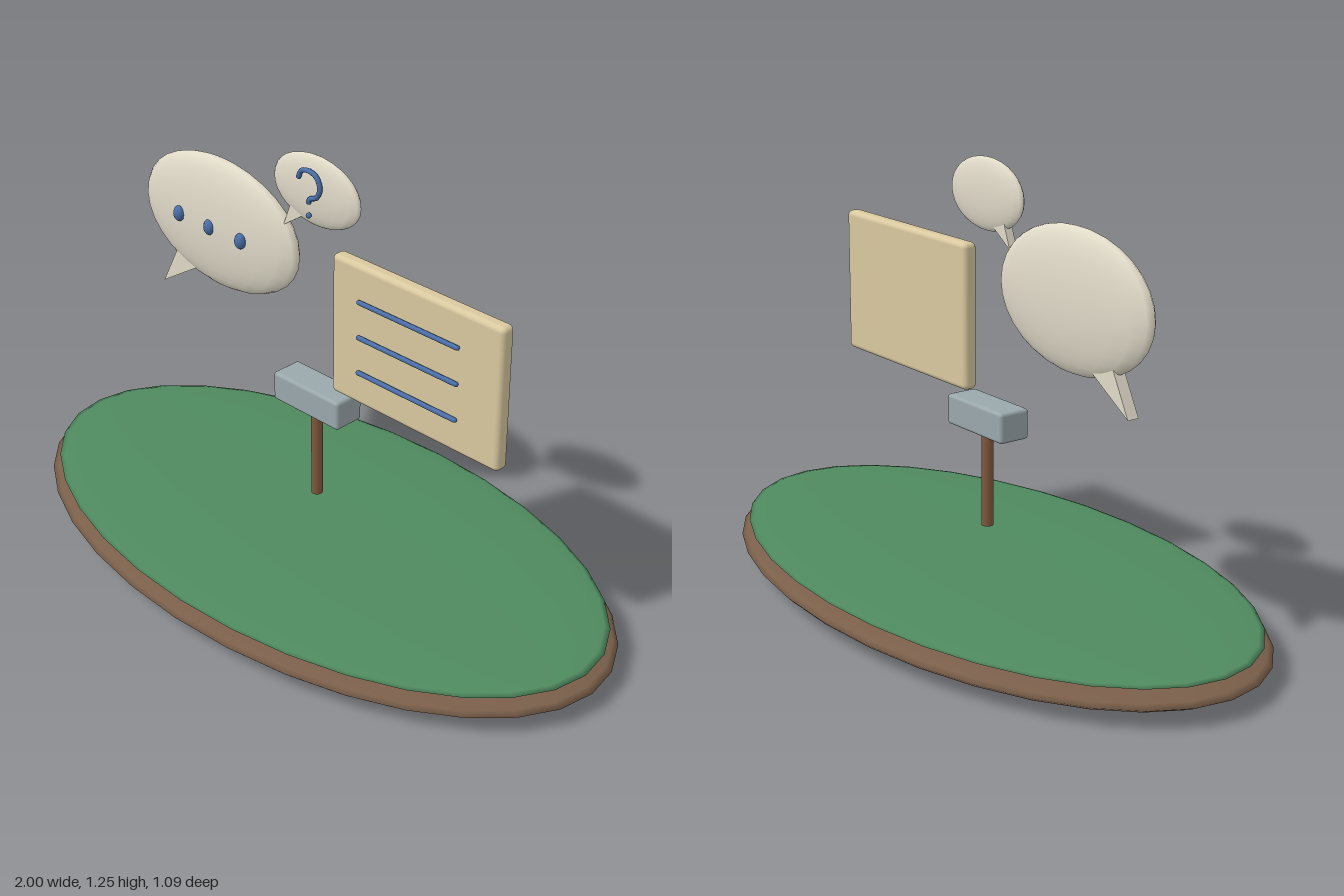
import * as THREE from 'three';
import { RoundedBoxGeometry } from 'three/addons/geometries/RoundedBoxGeometry.js';

const mat = (color) => new THREE.MeshStandardMaterial({ color });

export function createModel() {
  const model = new THREE.Group();
  const soil = mat(0x7a5f4a), grass = mat(0x4f8a5f), wood = mat(0x80583e), metal = mat(0x9aa8ac);
  const cream = mat(0xe0dac8), paper = mat(0xd9c9a0), ink = mat(0x4a6fa8);

  function add(parent, name, geometry, material, x, y, z) {
    const mesh = new THREE.Mesh(geometry, material);
    mesh.name = name;
    mesh.position.set(x, y, z);
    parent.add(mesh);
    return mesh;
  }
  const ellipsoid = (rx, ry, rz, w = 20, h = 16) => new THREE.SphereGeometry(1, w, h).scale(rx, ry, rz);

  // flat extruded triangle used for speech bubble tails
  function tail(points, depth) {
    const shape = new THREE.Shape(points.map(([x, y]) => new THREE.Vector2(x, y)));
    return new THREE.ExtrudeGeometry(shape, { depth, bevelEnabled: false }).translate(0, 0, -depth / 2);
  }

  // island
  add(model, 'soilBase', ellipsoid(1, 0.056, 0.545, 32, 16), soil, 0, 0.06, 0);
  add(model, 'grassTop', ellipsoid(0.975, 0.017, 0.522, 32, 16), grass, 0, 0.106, 0);

  // mallet
  const mallet = new THREE.Group();
  mallet.name = 'mallet';
  add(mallet, 'handle', new THREE.CylinderGeometry(0.017, 0.017, 0.3, 12), wood, 0, 0.365, 0);
  add(mallet, 'head', new RoundedBoxGeometry(0.25, 0.087, 0.096, 2, 0.01), metal, 0, 0.533, 0);
  model.add(mallet);

  // notice panel with three written lines
  const panel = new THREE.Group();
  panel.name = 'noticePanel';
  add(panel, 'board', new RoundedBoxGeometry(0.59, 0.417, 0.044, 3, 0.015), paper, 0.37, 0.797, 0);
  for (const y of [0.904, 0.799, 0.693]) {
    const line = add(panel, 'textLine', new THREE.CapsuleGeometry(0.007, 0.34, 4, 8), ink, 0.355, y, 0.031);
    line.rotation.z = Math.PI / 2;
  }
  model.add(panel);

  // large speech bubble with three dots
  const speech = new THREE.Group();
  speech.name = 'speechBubble';
  add(speech, 'bubble', ellipsoid(0.31, 0.195, 0.048), cream, -0.375, 0.935, 0);
  add(speech, 'bubbleTail', tail([[-0.61, 0.675], [-0.42, 0.795], [-0.535, 0.82]], 0.035), cream, 0, 0, 0);
  for (const x of [-0.5, -0.375, -0.25])
    add(speech, 'dot', ellipsoid(0.018, 0.023, 0.016, 14, 10), ink, x, 0.935, 0.046);
  model.add(speech);

  // small question bubble
  const question = new THREE.Group();
  question.name = 'questionBubble';
  add(question, 'bubble', ellipsoid(0.16, 0.1, 0.025), cream, 0, 1.153, 0);
  add(question, 'bubbleTail', tail([[-0.115, 1.02], [-0.035, 1.075], [-0.09, 1.085]], 0.024), cream, 0, 0, 0);
  const hook = new THREE.CatmullRomCurve3([
    [-0.037, 1.19], [-0.026, 1.212], [0, 1.22], [0.03, 1.21], [0.042, 1.18], [0.03, 1.153], [0.004, 1.14], [0, 1.128],
  ].map(([x, y]) => new THREE.Vector3(x, y, 0)));
  add(question, 'questionHook', new THREE.TubeGeometry(hook, 32, 0.007, 8), ink, 0, 0, 0.032);
  add(question, 'questionDot', ellipsoid(0.008, 0.008, 0.008, 10, 8), ink, 0, 1.092, 0.031);
  model.add(question);

  return model;
}
